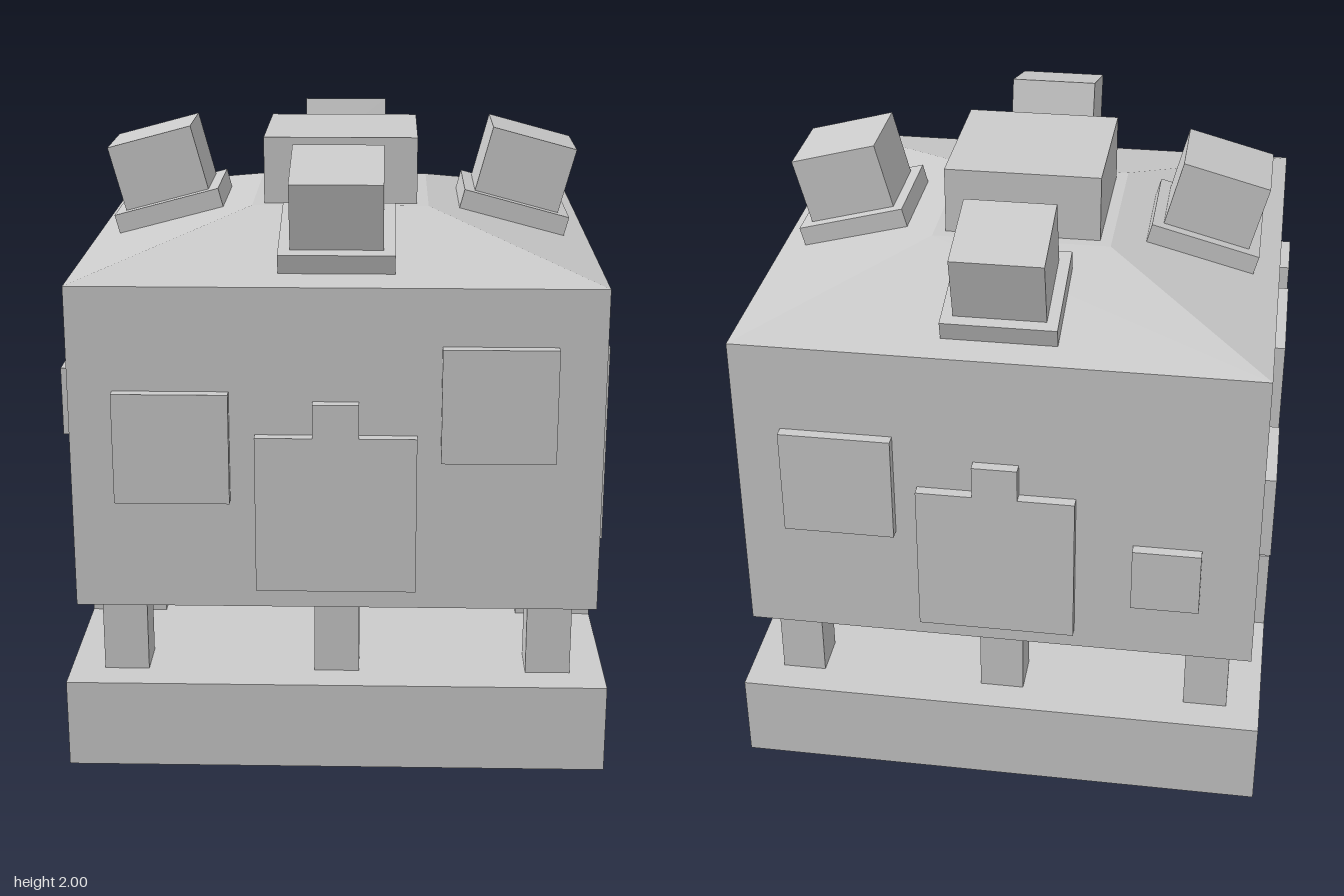
import * as THREE from 'three';

const mat = new THREE.MeshStandardMaterial({ color: 0xcccccc, flatShading: true });

function add(parent, name, geometry, x = 0, y = 0, z = 0) {
  const mesh = new THREE.Mesh(geometry, mat);
  mesh.name = name;
  mesh.position.set(x, y, z);
  parent.add(mesh);
  return mesh;
}

// Box given by its lower and upper corner
function box(parent, name, [x0, y0, z0], [x1, y1, z1]) {
  return add(parent, name, new THREE.BoxGeometry(x1 - x0, y1 - y0, z1 - z0),
    (x0 + x1) / 2, (y0 + y1) / 2, (z0 + z1) / 2);
}

const HALF = 0.84;   // half width of the body
const FACE = 0.877;  // outer surface of the wall panels

// Raised plate with a small tab on its top edge
function tabbedPanel(parent) {
  const outline = [[-0.255, 0.625], [0.255, 0.625], [0.255, 1.14], [0.073, 1.14],
    [0.073, 1.25], [-0.073, 1.25], [-0.073, 1.14], [-0.255, 1.14]];
  const shape = new THREE.Shape(outline.map(([x, y]) => new THREE.Vector2(x, y)));
  const geo = new THREE.ExtrudeGeometry(shape, { depth: FACE - HALF + 0.02, bevelEnabled: false });
  add(parent, 'tabbedPanel', geo, 0, 0, HALF - 0.02);
}

export function createModel() {
  const model = new THREE.Group();
  model.name = 'model';

  // Base slab with a raised block on each side
  box(model, 'baseSlab', [-0.88, 0, -0.88], [0.88, 0.295, 0.88]);
  for (const s of [-1, 1]) {
    const block = box(model, 'sideBlock', [0.62, 0.295, -0.295], [0.88, 0.59, 0.295]);
    block.position.x *= s;
  }

  // Three legs along the front and three along the back
  for (const z of [-0.695, 0.695]) {
    for (const x of [-0.695, 0, 0.695]) {
      box(model, 'leg', [x - 0.073, 0.295, z - 0.073], [x + 0.073, 0.56, z + 0.073]);
    }
  }

  // Square body with a sloped roof and a sloped underside
  const profile = [[0, 0.405], [0.293, 0.405], [HALF, 0.555], [HALF, 1.615], [0.293, 1.76], [0, 1.76]]
    .map(([r, y]) => new THREE.Vector2(r * Math.SQRT2, y));
  add(model, 'body', new THREE.LatheGeometry(profile, 4, Math.PI / 4));
  box(model, 'roofBlock', [-0.255, 1.75, -0.255], [0.255, 1.98, 0.255]);

  // Wall panels: [left, bottom, right, top] as seen facing each wall
  const walls = [
    { name: 'frontWall', turn: 0, tabbed: true,
      panels: [[-0.7, 0.92, -0.335, 1.28], [0.33, 1.06, 0.69, 1.43]] },
    { name: 'leftWall', turn: Math.PI / 2,
      panels: [[-0.59, 0.7, -0.08, 1.36], [0.11, 0.885, 0.62, 1.25]] },
    { name: 'backWall', turn: Math.PI, tabbed: true,
      panels: [[-0.69, 0.96, -0.33, 1.32], [0.44, 0.76, 0.66, 0.98]] },
    { name: 'rightWall', turn: -Math.PI / 2,
      panels: [[-0.7, 0.885, -0.375, 1.175], [-0.225, 0.81, 0.21, 1.39],
        [0.36, 0.81, 0.58, 1.03], [0.51, 1.1, 0.73, 1.32]] },
  ];
  for (const { name, turn, tabbed, panels } of walls) {
    const wall = new THREE.Group();
    wall.name = name;
    wall.rotation.y = turn;
    for (const [x0, y0, x1, y1] of panels) {
      box(wall, 'panel', [x0, y0, HALF - 0.02], [x1, y1, FACE]);
    }
    if (tabbed) tabbedPanel(wall);

    // Tilted block on a plate, standing square to the roof slope
    const turret = new THREE.Group();
    turret.name = 'roofTurret';
    turret.position.set(0, 1.687, 0.577);
    turret.rotation.x = THREE.MathUtils.degToRad(15);
    box(turret, 'turretPlate', [-0.183, -0.01, -0.183], [0.183, 0.062, 0.183]);
    box(turret, 'turretBlock', [-0.146, 0.05, -0.146], [0.146, 0.284, 0.146]);
    wall.add(turret);
    model.add(wall);
  }
  return model;
}
